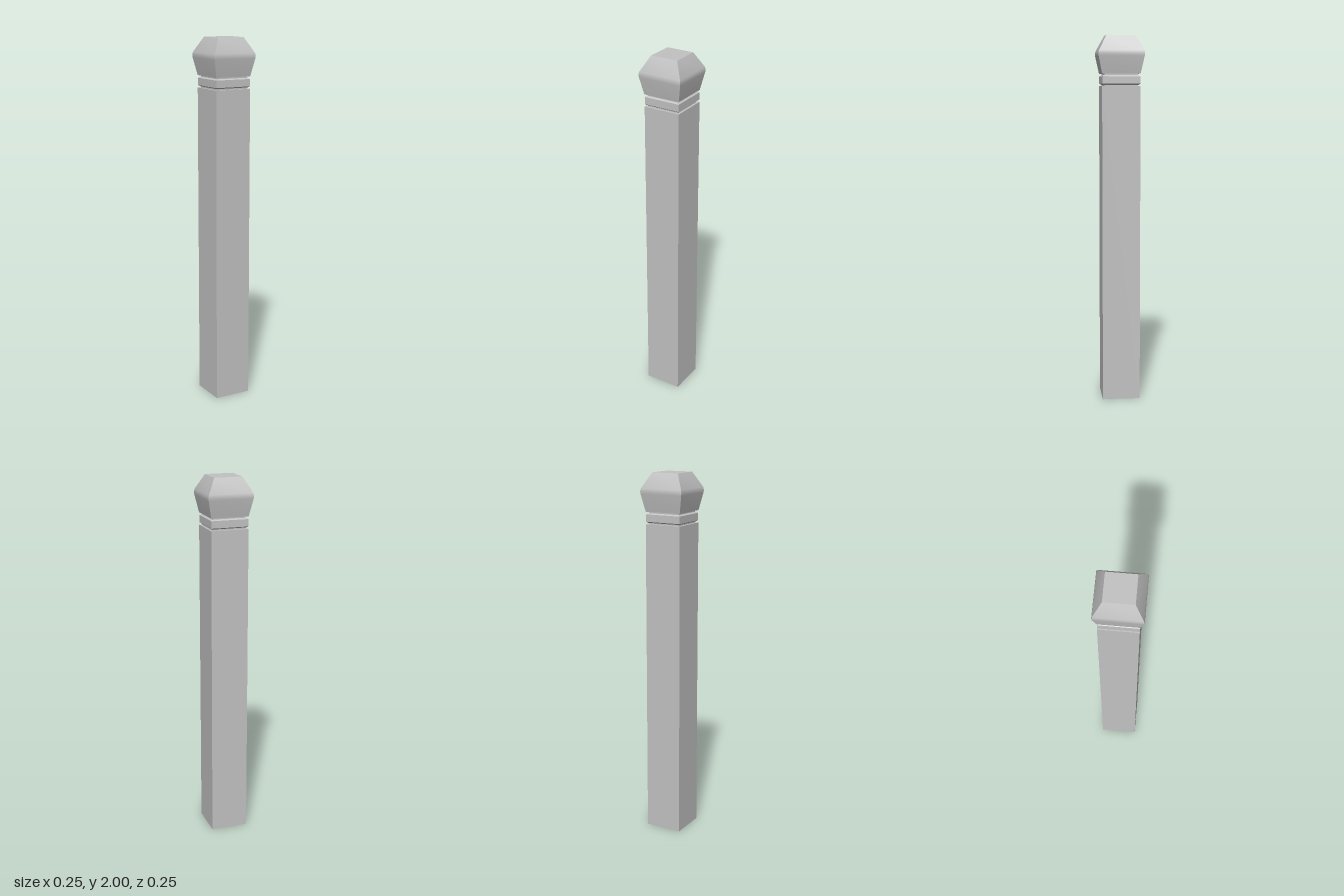
import * as THREE from 'three';
import { toCreasedNormals } from 'three/addons/utils/BufferGeometryUtils.js';

const stone = new THREE.MeshStandardMaterial({ color: 0xc2c2c2 });
stone.name = 'greyStone';

// Square section swept up a profile of [half width, height], closed at both ends
function squarePart(name, profile) {
  const points = [
    [0, profile[0][1]], ...profile, [0, profile[profile.length - 1][1]],
  ].map(([half, y]) => new THREE.Vector2(half * Math.SQRT2, y));
  const geometry = new THREE.LatheGeometry(points, 4).rotateY(Math.PI / 4);
  const mesh = new THREE.Mesh(toCreasedNormals(geometry, 0.6), stone);
  mesh.name = name;
  return mesh;
}

export function createModel() {
  const post = new THREE.Group();
  post.name = 'post';
  post.add(
    squarePart('shaft', [[0.103, 0], [0.103, 1.73]]),
    // recessed neck that shows as grooves above and below the collar
    squarePart('neck', [[0.09, 1.72], [0.09, 1.805]]),
    squarePart('collar', [
      [0.094, 1.737], [0.102, 1.743], [0.102, 1.782], [0.094, 1.788],
    ]),
    // flared head with a softened ridge and a flat top
    squarePart('head', [
      [0.103, 1.796], [0.1225, 1.89], [0.124, 1.904], [0.121, 1.919], [0.077, 2],
    ]),
  );
  return post;
}
